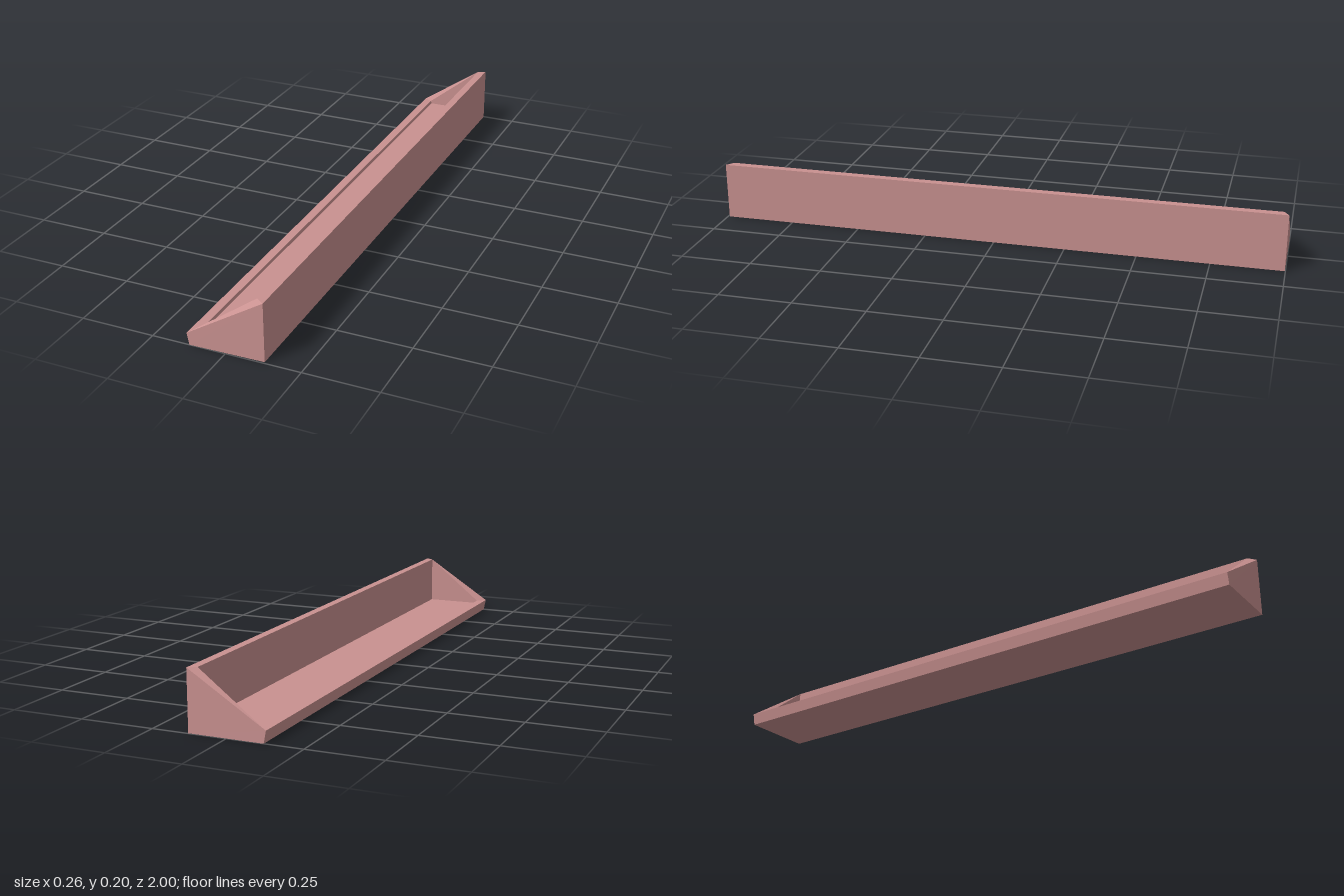
import * as THREE from 'three';

// Corner points of one end: outer section A-D, rim opening P-Q, floor S-T
function endSection(zLip, zWall, zInner) {
  const p = (x, y, z) => new THREE.Vector3(x, y, z);
  return {
    A: p(-0.122, 0, zLip), B: p(0.128, 0, zWall),
    C: p(0.128, 0.2, zWall), D: p(-0.13, 0.04, zLip),
    P: p(-0.1, 0.04, zInner), Q: p(0.1, 0.2, zInner),
    S: p(-0.097, 0.03, zInner), T: p(0.1, 0.03, zInner),
  };
}

// Flat-sided mesh from quads, each split along its first diagonal
function quadMesh(name, quads, material) {
  const points = quads.flatMap(([a, b, c, d]) => [a, b, c, a, c, d]);
  const geometry = new THREE.BufferGeometry().setFromPoints(points);
  geometry.computeVertexNormals();
  const mesh = new THREE.Mesh(geometry, material);
  mesh.name = name;
  return mesh;
}

export function createModel() {
  const group = new THREE.Group();
  group.name = 'trough';
  const dustyPink = new THREE.MeshStandardMaterial({ color: 0xc99190 });
  dustyPink.name = 'dustyPink';

  const f = endSection(1, 0.994, 0.973);
  const r = endSection(-1, -0.998, -0.981);

  // Outside: two end panels, base, tall wall and low lip
  const outside = [[f.A, f.B, f.C, f.D], [r.D, r.C, r.B, r.A]];
  for (const [i, j] of ['AB', 'BC', 'DA']) outside.push([f[i], r[i], r[j], f[j]]);
  group.add(quadMesh('outerShell', outside, dustyPink));

  // Rim: flat lip, flat wall top and the two folded sloping ends
  group.add(quadMesh('rim', [
    [f.D, f.P, r.P, r.D],
    [f.Q, f.C, r.C, r.Q],
    [f.D, f.C, f.Q, f.P],
    [r.D, r.P, r.Q, r.C],
  ], dustyPink));

  // Inside: lip, tall wall, both ends
  group.add(quadMesh('innerWalls', [
    [f.P, f.S, r.S, r.P],
    [f.Q, r.Q, r.T, f.T],
    [f.P, f.Q, f.T, f.S],
    [r.P, r.S, r.T, r.Q],
  ], dustyPink));

  group.add(quadMesh('floor', [[f.S, f.T, r.T, r.S]], dustyPink));
  return group;
}
